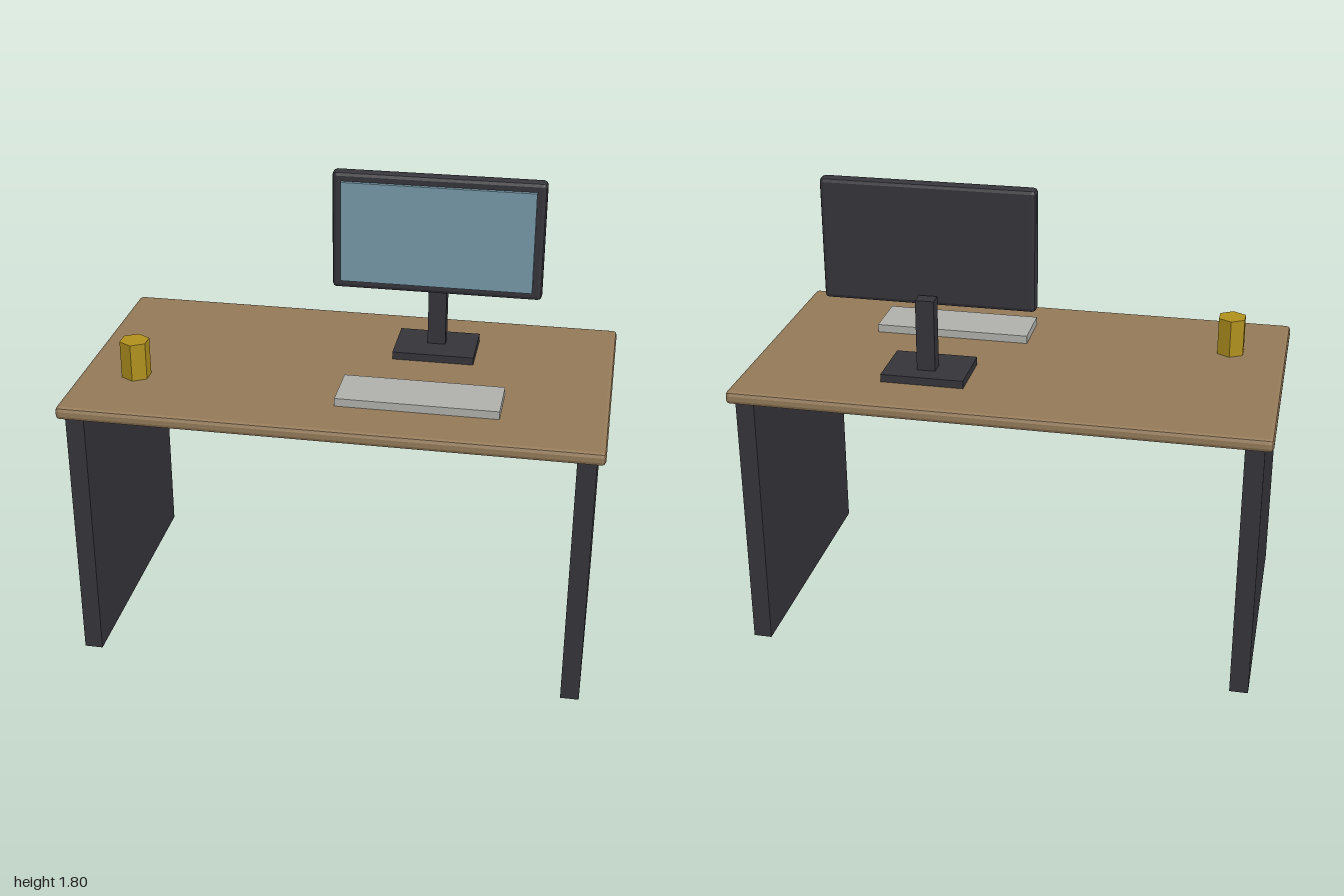
import * as THREE from 'three';
import { RoundedBoxGeometry } from 'three/addons/geometries/RoundedBoxGeometry.js';

export function createModel() {
  const desk = new THREE.Group();
  desk.name = 'desk';

  const material = (color) => new THREE.MeshStandardMaterial({ color, flatShading: true });
  const wood = material(0x937a59);
  const dark = material(0x34343a);
  const glass = material(0x7799a9);
  const pale = material(0xb0b0ac);
  const gold = material(0xb0901e);

  const add = (parent, name, geometry, mat, x, y, z) => {
    const mesh = new THREE.Mesh(geometry, mat);
    mesh.name = name;
    mesh.position.set(x, y, z);
    parent.add(mesh);
    return mesh;
  };
  const box = (w, h, d) => new THREE.BoxGeometry(w, h, d);
  // One segment per rounded edge gives a plain chamfer
  const chamferBox = (w, h, d, r) => new RoundedBoxGeometry(w, h, d, 1, r);

  // Table: chamfered top on two solid side panels
  const topY = 1.065;
  add(desk, 'tabletop', chamferBox(2, 0.05, 1.08, 0.016), wood, 0, topY - 0.025, 0);
  for (const [name, side] of [['leftPanel', 1], ['rightPanel', -1]]) {
    add(desk, name, box(0.07, 1.02, 1.025), dark, side * 0.935, 0.51, 0);
  }

  // Monitor on its stand
  const monitor = new THREE.Group();
  monitor.name = 'monitor';
  monitor.position.set(0.307, topY, 0);
  desk.add(monitor);
  add(monitor, 'standBase', box(0.315, 0.03, 0.232), dark, 0, 0.015, -0.217);
  add(monitor, 'standColumn', box(0.07, 0.29, 0.056), dark, 0, 0.162, -0.237);
  add(monitor, 'monitorHousing', chamferBox(0.805, 0.466, 0.056, 0.016), dark, 0, 0.498, -0.173);
  add(monitor, 'screen', box(0.733, 0.394, 0.025), glass, 0, 0.498, -0.142);

  // Items on the table
  add(desk, 'keyboard', box(0.605, 0.032, 0.205), pale, 0.307, topY + 0.015, 0.237);
  add(desk, 'cup', new THREE.CylinderGeometry(0.057, 0.057, 0.147, 6), gold, -0.785, topY + 0.0725, 0.215);

  return desk;
}
